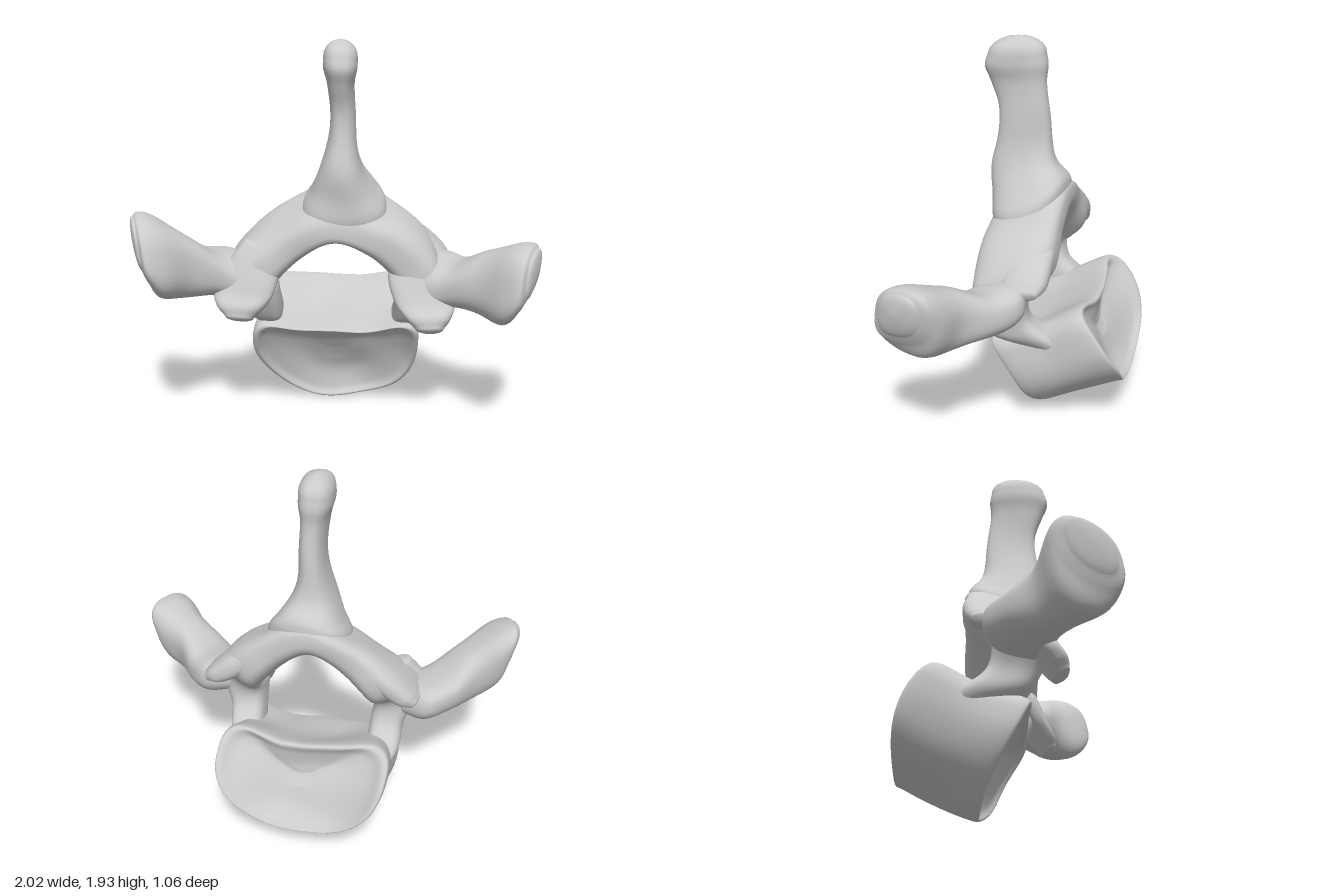
import * as THREE from 'three';

const material = new THREE.MeshStandardMaterial({ color: 0xcccccc, roughness: 0.8 });

// Slight unevenness of the bone surface
function ripple(p) {
  const a = 0.006;
  return p.add(new THREE.Vector3(
    a * Math.sin(13 * p.y + 9 * p.z),
    a * Math.sin(15 * p.x + 11 * p.z + 1),
    a * Math.sin(12 * p.x + 14 * p.y + 2)));
}

// Smooth closed loft. Each section is [centre, u, v, bend]; a ring point is
// centre + u * cos + v * sin + bend * sin^2, squared off by an exponent on either half.
function loft(name, sections, opt = {}) {
  const { n = 2.5, nTop = n, top = 1, dip = 0, dome = 0.03, around = 40, steps = 8 } = opt;
  const curves = [0, 1, 2, 3].map(k => new THREE.CatmullRomCurve3(
    sections.map(s => new THREE.Vector3(...(s[k] ?? [0, 0, 0]))), false, 'catmullrom', 0.5));
  const count = (sections.length - 1) * steps;
  const rings = [];
  for (let i = 0; i <= count; i++) rings.push(curves.map(c => c.getPoint(i / count)));

  // Rounded caps on both ends
  const cap = (end, next) => {
    const dir = end[0].clone().sub(next[0]).normalize();
    return [0.25, 0.5, 0.72, 0.9, 0.998].map(t => {
      const s = Math.sqrt(1 - t * t);
      return [end[0].clone().addScaledVector(dir, dome * t),
        ...end.slice(1).map(a => a.clone().multiplyScalar(s))];
    });
  };
  const all = [...cap(rings[0], rings[1]).reverse(), ...rings, ...cap(rings[count], rings[count - 1])];

  const pos = [], index = [];
  const power = (v, e) => Math.sign(v) * Math.abs(v) ** (2 / e);
  for (const [c, u, v, bend] of all) {
    for (let j = 0; j < around; j++) {
      const a = j / around * Math.PI * 2, s = Math.sin(a), e = s > 0 ? nTop : n;
      let h = power(s, e);
      if (s > 0) h = h * top - dip * s ** 6;
      const p = c.clone().addScaledVector(u, power(Math.cos(a), e))
        .addScaledVector(v, h).addScaledVector(bend, h * h);
      pos.push(...ripple(p).toArray());
    }
  }
  for (let i = 0; i < all.length - 1; i++) {
    for (let j = 0; j < around; j++) {
      const a = i * around + j, b = i * around + (j + 1) % around;
      index.push(a, b, a + around, b, b + around, a + around);
    }
  }
  // Close the poles
  const P = i => new THREE.Vector3(pos[i * 3], pos[i * 3 + 1], pos[i * 3 + 2]);
  for (const [start, flip] of [[0, true], [(all.length - 1) * around, false]]) {
    const pole = pos.length / 3;
    pos.push(...P(start).lerp(P(start + around / 2), 0.5).toArray());
    for (let j = 0; j < around; j++) {
      const a = start + j, b = start + (j + 1) % around;
      flip ? index.push(b, a, pole) : index.push(a, b, pole);
    }
  }
  // Turn the faces outward if the enclosed volume comes out negative
  let volume = 0;
  for (let i = 0; i < index.length; i += 3) {
    volume += P(index[i]).dot(P(index[i + 1]).cross(P(index[i + 2])));
  }
  if (volume < 0) index.reverse();

  const geometry = new THREE.BufferGeometry();
  geometry.setAttribute('position', new THREE.Float32BufferAttribute(pos, 3));
  geometry.setIndex(index);
  geometry.computeVertexNormals();
  const mesh = new THREE.Mesh(geometry, material);
  mesh.name = name;
  return mesh;
}

// Mirror sections to the other side, with a rule that moves the centres first
const mirror = (sections, move) => sections.map(([c, u, v]) => {
  const [x, y, z] = move(c);
  return [[-x, y, z], [-u[0], u[1], u[2]], [-v[0], v[1], v[2]]];
});

export function createModel() {
  const group = new THREE.Group();
  group.name = 'vertebra';

  // Vertebral body: tilted D-shaped drum with a scooped canal floor and dished ends
  const plate = (y, z, w, vy, vz, s = 1, bend = 0) =>
    [[0, y, z], [w * s, 0, 0], [0, vy * s, vz * s], [0, 0, bend * s]];
  group.add(loft('vertebralBody', [
    plate(0.29, -0.05, 0.42, 0.34, 0.19, 0.15),
    plate(0.32, -0.023, 0.42, 0.34, 0.19, 0.5),
    plate(0.335, 0.036, 0.42, 0.34, 0.19, 0.85),
    plate(0.335, 0.07, 0.425, 0.34, 0.185, 0.97),
    plate(0.35, 0.03, 0.435, 0.345, 0.18),
    plate(0.41, -0.17, 0.425, 0.345, 0.18, 1, 0.07),
    plate(0.51, -0.39, 0.445, 0.345, 0.23, 1, 0.15),
    plate(0.515, -0.435, 0.44, 0.345, 0.23, 0.96, 0.15),
    plate(0.48, -0.405, 0.435, 0.345, 0.22, 0.8, 0.14),
    plate(0.44, -0.37, 0.43, 0.345, 0.2, 0.5, 0.1),
    plate(0.42, -0.35, 0.43, 0.345, 0.2, 0.15),
  ], { n: 2, nTop: 3.6, top: 0.5, dip: 0.19, dome: 0.004, around: 64 }));

  // Neural arch: pedicle, lamina and roof of the canal, side to side
  const halfArch = [
    [[0.34, 0.43, -0.10], [0.06, 0, 0], [0, 0.02, 0.15]],
    [[0.37, 0.50, -0.04], [0.085, 0, 0], [0, 0, 0.165]],
    [[0.385, 0.60, 0.05], [0.09, 0, 0], [0, -0.01, 0.125]],
    [[0.42, 0.72, 0.07], [0.12, 0.05, 0], [0, -0.03, 0.14]],
    [[0.38, 0.84, 0.015], [0.085, 0.09, 0], [0.01, -0.06, 0.195]],
    [[0.215, 0.98, 0.015], [0.055, 0.09, 0], [0.01, -0.07, 0.2]],
  ];
  const crown = [[0, 1.06, 0.015], [0, 0.10, 0], [0, -0.08, 0.2]];
  const lowerLamina = ([x, y, z]) => [x, y > 0.8 ? y - 0.025 : y, z];
  group.add(loft('neuralArch',
    [...halfArch, crown, ...mirror(halfArch, lowerLamina).reverse()], { n: 3 }));

  // Spinous process: [y, centre x, half width, centre z, half depth, forward slope]
  group.add(loft('spinousProcess', [
    [1.06, 0.035, 0.22, 0.015, 0.185, -0.075],
    [1.12, 0.035, 0.205, 0.02, 0.195, -0.075],
    [1.19, 0.035, 0.16, 0.025, 0.19, -0.05],
    [1.29, 0.033, 0.108, 0.055, 0.165, -0.02],
    [1.42, 0.03, 0.073, 0.057, 0.138, 0],
    [1.58, 0.03, 0.062, 0.062, 0.127, 0],
    [1.70, 0.03, 0.066, 0.08, 0.14, 0],
    [1.78, 0.028, 0.084, 0.092, 0.158, 0],
    [1.84, 0.026, 0.085, 0.092, 0.145, 0],
  ].map(([y, x, w, z, d, slope]) => [[x, y, z], [w, 0, 0], [0, slope, d]]), { dome: 0.08 }));

  // Transverse processes: bars flaring to a blunt, forward-swept tip
  const transverse = [
    [[0.43, 0.73, 0.06], [0, 0.09, 0], [-0.04, -0.03, 0.13]],
    [[0.54, 0.725, 0.07], [0, 0.11, 0], [-0.06, -0.035, 0.165]],
    [[0.64, 0.72, 0.135], [0, 0.115, 0], [-0.075, -0.02, 0.135]],
    [[0.76, 0.74, 0.24], [0, 0.16, -0.01], [-0.06, 0, 0.11]],
    [[0.87, 0.772, 0.335], [0.01, 0.188, -0.03], [-0.07, -0.01, 0.145]],
    [[0.93, 0.81, 0.38], [0.02, 0.15, -0.03], [-0.055, -0.02, 0.155]],
    [[0.955, 0.825, 0.39], [0.015, 0.11, -0.02], [-0.04, -0.02, 0.115]],
  ];
  const raiseTip = ([x, y, z]) => {
    const t = Math.max(0, x - 0.5);
    return [x, y + 0.28 * t, z - 0.05 * t];
  };
  group.add(loft('leftTransverseProcess', transverse));
  group.add(loft('rightTransverseProcess', mirror(transverse, raiseTip)));

  // Articular shelves: thin back corners of the lamina
  const shelf = [
    [[0.26, 1.00, -0.07], [0.03, 0.05, 0], [0, -0.02, 0.11]],
    [[0.41, 0.90, -0.075], [0.04, 0.055, 0], [0, -0.02, 0.115]],
    [[0.51, 0.825, -0.07], [0.035, 0.045, 0], [0, -0.015, 0.115]],
    [[0.565, 0.795, -0.055], [0.015, 0.03, 0], [0, -0.01, 0.10]],
  ];
  group.add(loft('leftRearFacet', shelf, { dome: 0.015 }));
  group.add(loft('rightRearFacet',
    mirror(shelf, ([x, y, z]) => [x - 0.04, y + 0.01, z]), { dome: 0.015 }));

  // Articular tongues hanging at the front
  const tongue = [
    [[0.38, 0.84, 0.11], [0.09, 0.03, 0], [0, 0, 0.065]],
    [[0.42, 0.73, 0.145], [0.145, 0, 0], [0, 0, 0.075]],
    [[0.455, 0.62, 0.20], [0.15, 0, 0], [0, 0.01, 0.062]],
    [[0.47, 0.555, 0.245], [0.115, 0, 0], [0, 0.02, 0.055]],
    [[0.475, 0.51, 0.265], [0.07, 0, 0], [0, 0.02, 0.04]],
  ];
  group.add(loft('leftFrontFacet', tongue, { dome: 0.02 }));
  group.add(loft('rightFrontFacet',
    mirror(tongue, ([x, y, z]) => [x, y + 0.04, z]), { dome: 0.02 }));

  return group;
}
